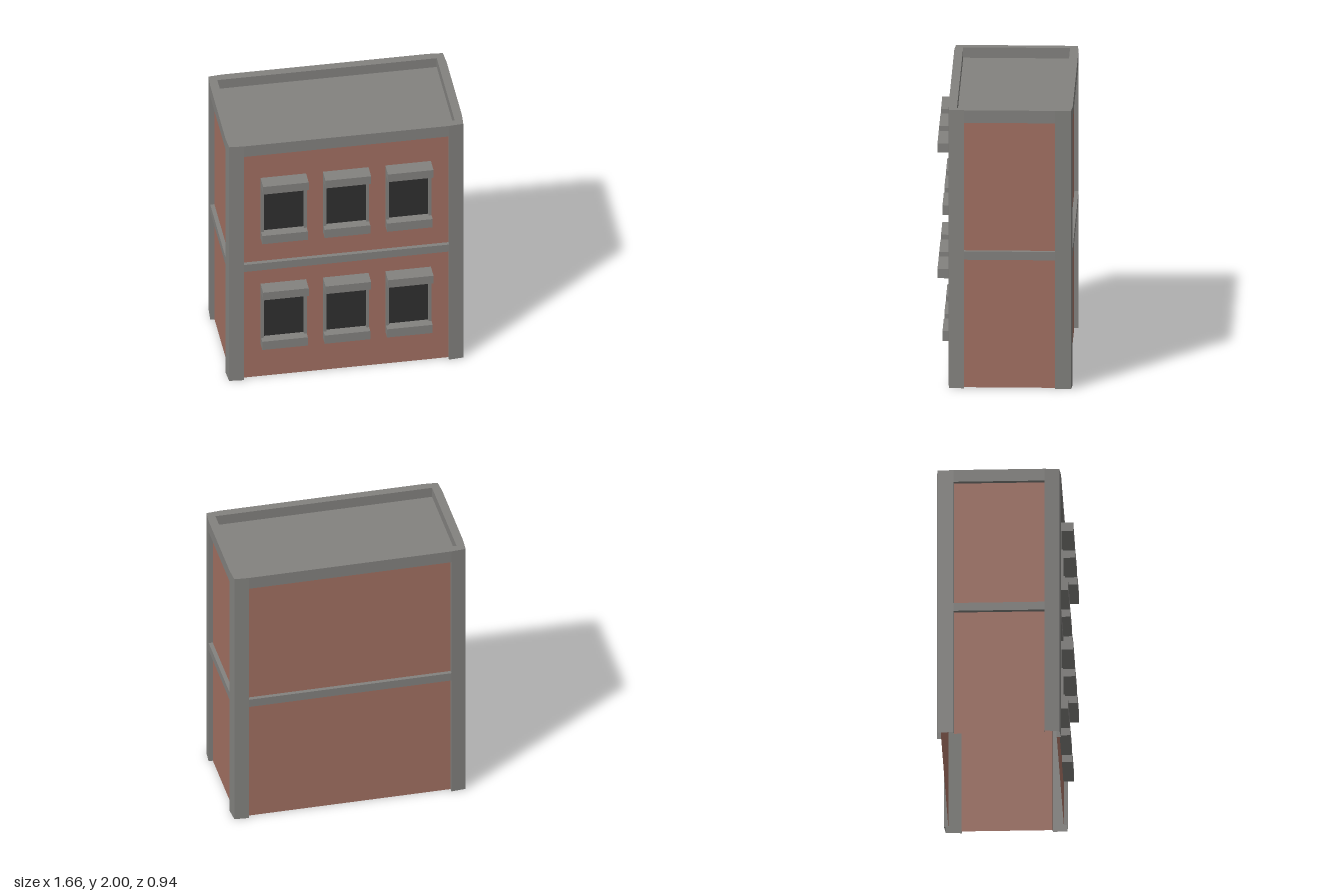
import * as THREE from 'three';
import { mergeGeometries } from 'three/addons/utils/BufferGeometryUtils.js';

const concrete = new THREE.MeshStandardMaterial({ color: 0x83827f, side: THREE.DoubleSide });
concrete.name = 'concrete';
const brick = new THREE.MeshStandardMaterial({ color: 0xa27062, side: THREE.DoubleSide });
brick.name = 'brick';
const glass = new THREE.MeshStandardMaterial({ color: 0x2f2f2f });
glass.name = 'darkGlass';

const BACK = -0.47, FRONT = 0.39, RECESS = 0.03;

// Plan of one corner post, from the front/back wall round to the side wall
function cornerPlan(sx, sz) {
  const zOut = sz > 0 ? FRONT : BACK;
  const zSide = sz > 0 ? 0.28 : -0.35;
  const pts = [
    [sx * 0.72, zOut - sz * RECESS],
    [sx * 0.72, zOut],
    [sx * 0.822, zOut - sz * 0.008],
    [sx * 0.83, zSide],
    [sx * (0.83 - RECESS), zSide],
  ];
  return sx * sz < 0 ? pts.reverse() : pts;
}

// Upright open strip following a plan path
function strip(path, y0, y1) {
  const pos = [];
  for (let i = 0; i < path.length - 1; i++) {
    const [ax, az] = path[i], [bx, bz] = path[i + 1];
    pos.push(ax, y0, az, bx, y0, bz, bx, y1, bz, ax, y0, az, bx, y1, bz, ax, y1, az);
  }
  const g = new THREE.BufferGeometry();
  g.setAttribute('position', new THREE.Float32BufferAttribute(pos, 3));
  g.computeVertexNormals();
  return g;
}

// Horizontal ring with the building's outline and a rectangular hole
function ring(outline, hx, z0, z1, y0, y1) {
  const shape = new THREE.Shape(outline.map(([x, z]) => new THREE.Vector2(x, z)));
  shape.holes.push(new THREE.Path([[-hx, z0], [-hx, z1], [hx, z1], [hx, z0]]
    .map(([x, z]) => new THREE.Vector2(x, z))));
  const g = new THREE.ExtrudeGeometry(shape, { depth: y1 - y0, bevelEnabled: false });
  return g.rotateX(Math.PI / 2).translate(0, y1, 0);
}

// Box given by its limits
function block(x0, x1, y0, y1, z0, z1) {
  return new THREE.BoxGeometry(x1 - x0, y1 - y0, z1 - z0)
    .translate((x0 + x1) / 2, (y0 + y1) / 2, (z0 + z1) / 2);
}

function add(parent, name, geometry, material) {
  const mesh = new THREE.Mesh(geometry, material);
  mesh.name = name;
  parent.add(mesh);
}

// Window with its origin at the centre of the sill's foot
function makeWindow(name) {
  const w = new THREE.Group();
  w.name = name;
  const z = 0.361;
  add(w, 'pane', block(-0.14, 0.14, 0.07, 0.45, z, z + 0.006), glass);
  add(w, 'jambs', mergeGeometries([-0.16, 0.14].map(
    (x) => block(x, x + 0.02, 0.07, 0.45, z, 0.388))), concrete);
  add(w, 'sill', block(-0.16, 0.16, 0, 0.07, z, 0.435), concrete);
  add(w, 'lintel', block(-0.16, 0.16, 0.45, 0.515, z, 0.47), concrete);
  return w;
}

export function createModel() {
  const building = new THREE.Group();
  building.name = 'building';

  const corners = [[1, 1], [1, -1], [-1, -1], [-1, 1]].map(([sx, sz]) => cornerPlan(sx, sz));
  const outline = corners.flatMap((c) => c.slice(1, 4));

  // Hollow corner posts and the recessed walls between them
  const postNames = ['frontLeftPost', 'backLeftPost', 'backRightPost', 'frontRightPost'];
  const wallNames = ['leftWall', 'backWall', 'rightWall', 'frontWall'];
  corners.forEach((c, i) => {
    add(building, postNames[i], strip(c, 0, 1.91), concrete);
    add(building, wallNames[i], strip([c[4], corners[(i + 1) % 4][0]], 0, 1.91), brick);
  });

  // Floor band, parapet and sunken roof
  const inner = 0.83 - RECESS + 0.001;
  add(building, 'floorBand',
    ring(outline, inner, BACK + RECESS - 0.001, FRONT - RECESS + 0.001, 0.925, 0.985), concrete);
  add(building, 'parapet', ring(outline, 0.77, -0.41, 0.33, 1.91, 2), concrete);
  add(building, 'roof', block(-0.775, 0.775, 1.911, 1.925, -0.415, 0.335), concrete);

  // Two rows of three windows
  [0.275, 1.18].forEach((y, row) => {
    [-0.438, 0, 0.438].forEach((x, col) => {
      const w = makeWindow(`window${row + 1}${'ABC'[col]}`);
      w.position.set(x, y, 0);
      building.add(w);
    });
  });

  return building;
}
